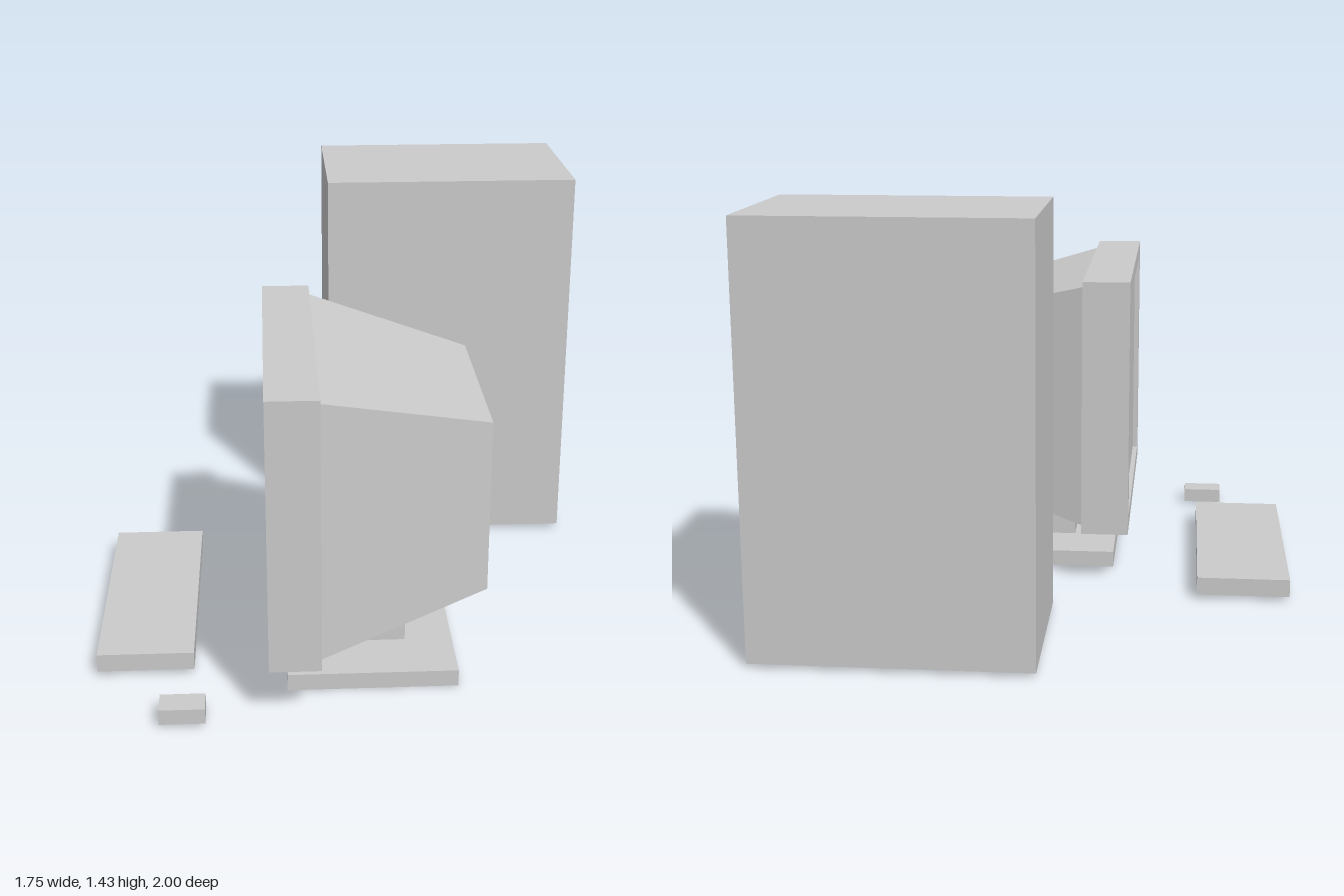
import * as THREE from 'three';

const material = new THREE.MeshStandardMaterial({ color: 0xcccccc, flatShading: true });

// Box given by its minimum and maximum corners
function block(name, [x0, y0, z0], [x1, y1, z1]) {
  const mesh = new THREE.Mesh(new THREE.BoxGeometry(x1 - x0, y1 - y0, z1 - z0), material);
  mesh.position.set((x0 + x1) / 2, (y0 + y1) / 2, (z0 + z1) / 2);
  mesh.name = name;
  return mesh;
}

// Counter-clockwise rectangle outline centred on the origin
function rectPoints(w, h) {
  return [[-1, -1], [1, -1], [1, 1], [-1, 1]].map(([x, y]) => new THREE.Vector2(x * w / 2, y * h / 2));
}

function createMonitor() {
  const monitor = new THREE.Group();
  monitor.name = 'monitor';
  const cy = 0.65, cz = 0.431;

  // Bezel frame, its opening facing -x
  const outline = new THREE.Shape(rectPoints(1.13, 0.92));
  outline.holes.push(new THREE.Path(rectPoints(0.974, 0.814).reverse()));
  const bezel = new THREE.Mesh(
    new THREE.ExtrudeGeometry(outline, { depth: 0.168, bevelEnabled: false }), material);
  bezel.rotation.y = -Math.PI / 2;
  bezel.position.set(-0.13, cy, cz);
  bezel.name = 'bezel';

  // Slightly recessed screen
  const screen = block('screen', [-0.28, cy - 0.407, cz - 0.487], [-0.13, cy + 0.407, cz + 0.487]);

  // Rear housing, tapering towards +x
  const housing = block('rearHousing', [-0.13, 0.213, -0.103], [0.418, 1.087, 0.965]);
  const pos = housing.geometry.attributes.position;
  for (let i = 0; i < pos.count; i++) {
    if (pos.getX(i) > 0) {
      pos.setY(i, pos.getY(i) * 0.671);
      pos.setZ(i, pos.getZ(i) * 0.673);
    }
  }
  housing.geometry.computeVertexNormals();

  // Stand
  const neck = block('standNeck', [-0.08, 0.058, 0.277], [0.17, 0.32, 0.588]);
  const base = block('standBase', [-0.238, 0, 0.063], [0.332, 0.058, 0.8]);

  monitor.add(bezel, screen, housing, neck, base);
  return monitor;
}

export function createModel() {
  const model = new THREE.Group();
  model.name = 'desktopComputer';
  model.add(
    createMonitor(),
    block('towerCase', [-0.048, 0.014, -1], [0.872, 1.43, -0.368]),
    block('keyboard', [-0.876, 0.014, -0.249], [-0.55, 0.077, 0.672]),
    block('mouse', [-0.652, 0.01, 0.904], [-0.504, 0.063, 0.998]),
  );
  return model;
}
